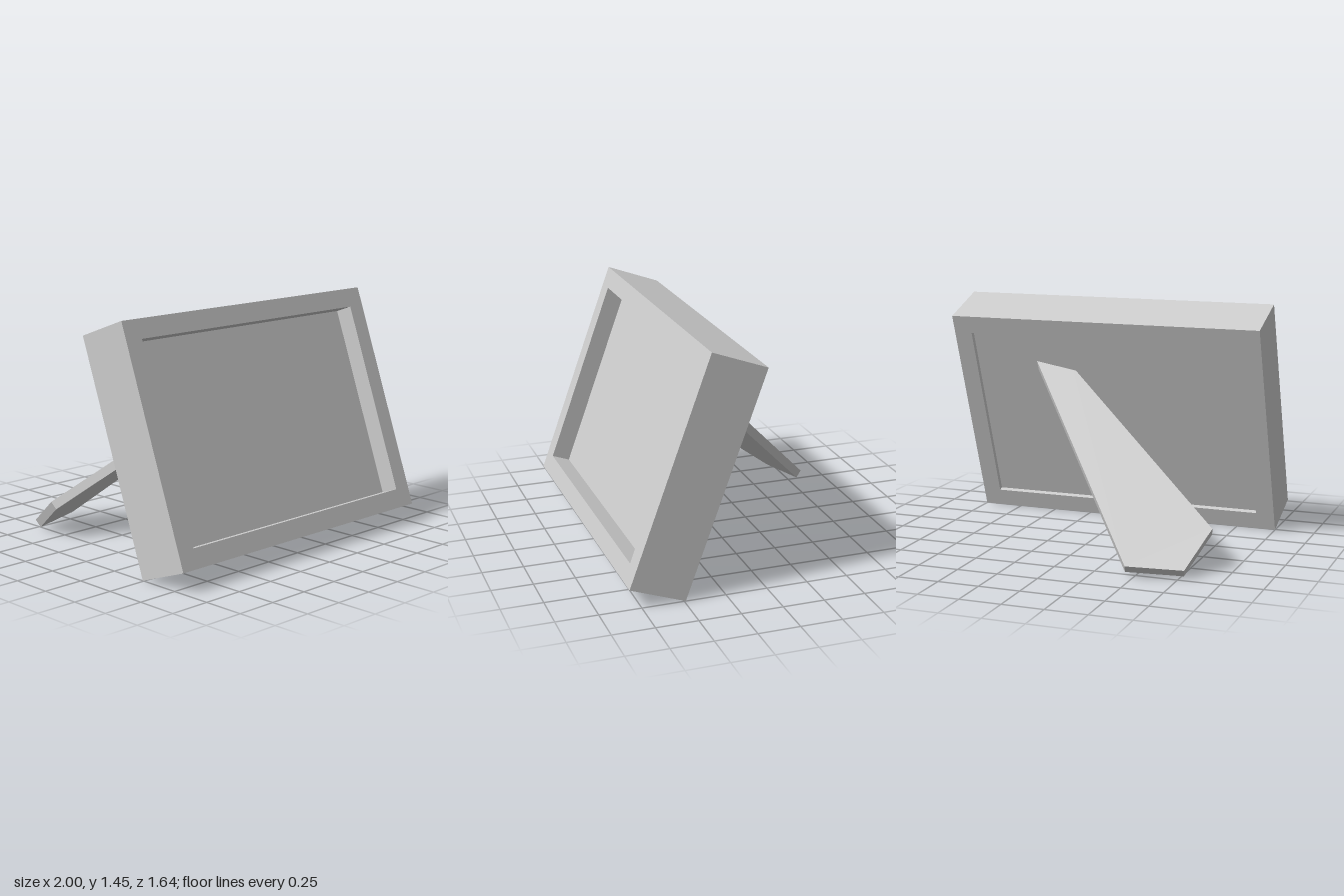
import * as THREE from 'three';

const WIDTH = 2, HEIGHT = 1.415, DEPTH = 0.35, BORDER = 0.115;
const FRONT_RECESS = 0.115, BACK_RECESS = 0.03;
const TILT = THREE.MathUtils.degToRad(-20);

const material = new THREE.MeshStandardMaterial({ color: 0xcccccc, flatShading: true });

function rectangle(Path, x, y0, y1) {
  return new Path([[-x, y0], [x, y0], [x, y1], [-x, y1]].map(([a, b]) => new THREE.Vector2(a, b)));
}

function part(name, geometry) {
  const mesh = new THREE.Mesh(geometry, material);
  mesh.name = name;
  return mesh;
}

// Flat plate: extrudes a planar 3D outline downwards by its thickness
function plate(name, corners, thickness) {
  const [a, d, c] = [corners[0], corners[1], corners[3]];
  const xAxis = d.clone().sub(a).normalize();
  const normal = xAxis.clone().cross(c.clone().sub(a)).normalize();
  const yAxis = normal.clone().cross(xAxis);
  const outline = corners.map((p) => {
    const v = p.clone().sub(a);
    return new THREE.Vector2(v.dot(xAxis), v.dot(yAxis));
  });
  const geometry = new THREE.ExtrudeGeometry(new THREE.Shape(outline), { depth: thickness, bevelEnabled: false });
  geometry.applyMatrix4(new THREE.Matrix4().makeBasis(xAxis, yAxis, normal).setPosition(a));
  return part(name, geometry);
}

export function createModel() {
  const model = new THREE.Group();
  model.name = 'pictureFrame';

  // Leaning frame and its panel, built upright from the lower back edge
  const leaning = new THREE.Group();
  leaning.name = 'leaningFrame';
  leaning.position.z = 0.491;
  leaning.rotation.x = TILT;

  const border = rectangle(THREE.Shape, WIDTH / 2, 0, HEIGHT);
  border.holes.push(rectangle(THREE.Path, WIDTH / 2 - BORDER, BORDER, HEIGHT - BORDER));
  leaning.add(part('frameBorder', new THREE.ExtrudeGeometry(border, { depth: DEPTH, bevelEnabled: false })));

  // Panel recessed from both faces of the border
  const thickness = DEPTH - FRONT_RECESS - BACK_RECESS;
  const panel = part('picturePanel', new THREE.BoxGeometry(WIDTH - 2 * BORDER, HEIGHT - 2 * BORDER, thickness));
  panel.position.set(0, HEIGHT / 2, BACK_RECESS + thickness / 2);
  leaning.add(panel);
  model.add(leaning);

  // Skewed rear leg, its upper end sunk slightly into the panel
  const legCorners = [
    [-0.46, 0.07, -0.823],
    [0.50, 1.075, 0.165],
    [0.25, 1.015, 0.18],
    [-0.87, 0.24, -0.475],
    [-0.785, 0.055, -0.74],
  ].map((p) => new THREE.Vector3(...p));
  model.add(plate('easelLeg', legCorners, 0.055));

  return model;
}
